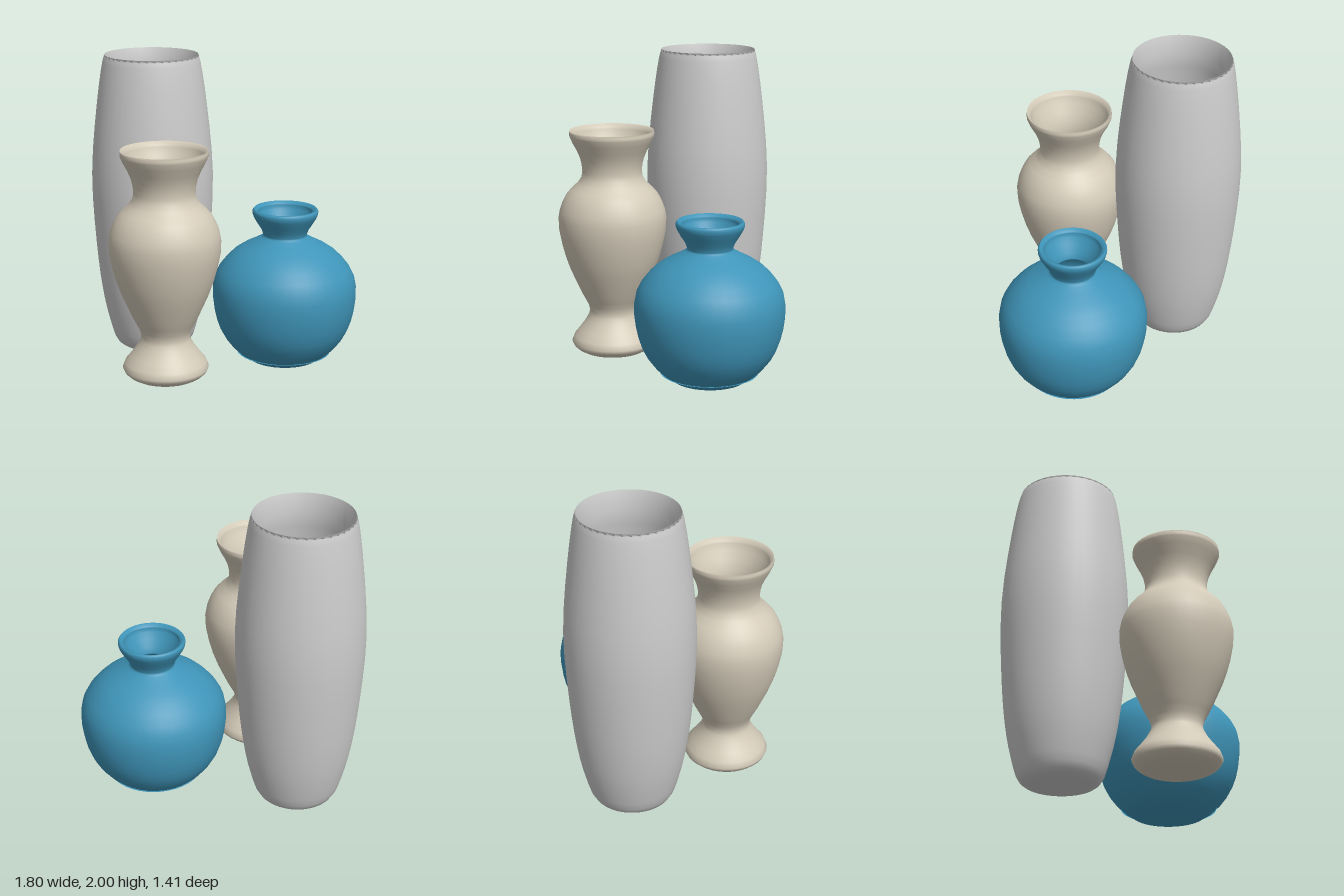
import * as THREE from 'three';

// Turned vase: a smooth outer curve from base to lip, then the same wall offset inward down to a flat floor.
function makeVase({ name, color, x, z, wall, lip, floor, outline }) {
  const curve = new THREE.CatmullRomCurve3(outline.map(([r, y]) => new THREE.Vector3(r, y, 0)));
  const outer = curve.getPoints((outline.length - 1) * 3).map((p) => new THREE.Vector2(Math.max(p.x, 0), p.y));
  const top = outer[outer.length - 1].y;
  const inner = outer
    .filter((p) => p.y > floor && p.y < top - lip)
    .reverse()
    .map((p) => new THREE.Vector2(p.x - wall, p.y));
  const base = new THREE.Vector2(inner[inner.length - 1].x, floor);
  const profile = [...outer, ...inner, base, new THREE.Vector2(0, floor)];

  const vase = new THREE.Mesh(
    new THREE.LatheGeometry(profile, 40),
    new THREE.MeshStandardMaterial({ color })
  );
  vase.name = name;
  vase.position.set(x, 0, z);
  return vase;
}

export function createModel() {
  const group = new THREE.Group();
  group.name = 'vaseSet';

  // Tall barrel-shaped vase with an inward-sloping lip
  group.add(makeVase({
    name: 'tallVase', color: 0xcccccc, x: -0.5, z: -0.285, wall: 0.055, lip: 0.06, floor: 0.07,
    outline: [
      [0, 0.004], [0.16, 0.015], [0.245, 0.05], [0.3, 0.2], [0.345, 0.42], [0.38, 0.75],
      [0.4, 1.22], [0.36, 1.68], [0.32, 1.95], [0.306, 2],
    ],
  }));

  // Slender vase with a flared foot and a flared mouth
  group.add(makeVase({
    name: 'footedVase', color: 0xd3cab8, x: -0.16, z: 0.35, wall: 0.025, lip: 0.012, floor: 0.32,
    outline: [
      [0, 0.047], [0.21, 0.06], [0.272, 0.12], [0.19, 0.245], [0.153, 0.33], [0.21, 0.46],
      [0.305, 0.69], [0.35, 0.95], [0.298, 1.1], [0.198, 1.215], [0.205, 1.34], [0.272, 1.485], [0.27, 1.52],
    ],
  }));

  // Round-bodied vase with a short flared neck
  group.add(makeVase({
    name: 'roundVase', color: 0x3f95b9, x: 0.435, z: -0.245, wall: 0.035, lip: 0.012, floor: 0.1,
    outline: [
      [0, 0.01], [0.23, 0.055], [0.385, 0.2], [0.455, 0.39], [0.452, 0.61], [0.33, 0.77],
      [0.16, 0.868], [0.14, 0.89], [0.205, 1.01], [0.211, 1.045], [0.2, 1.06],
    ],
  }));

  return group;
}
